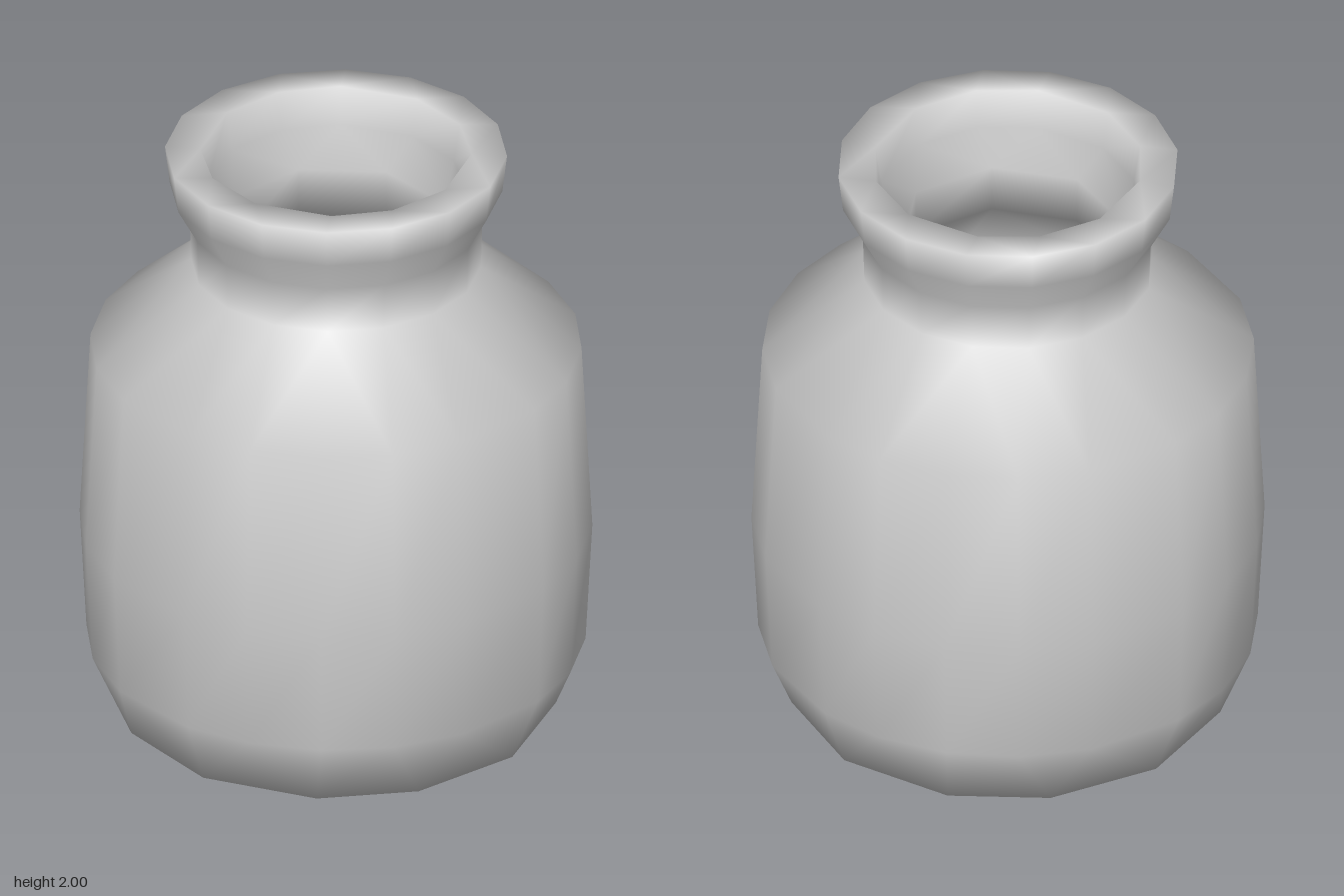
import * as THREE from 'three';

// Vertex angles (degrees) within one quarter turn; each pattern repeats four times
const BASE = [-6, 25, 52];
const BODY = [-6.8, 16.7, 33.7, 50.4, 67.5];
const RIM = [-17.2, 5.3, 27.8, 50.3];
const LIP = [-6.5, 22.5, 49];
const THROAT = [-17, 28];

// Rings [radius, height, angles]: base centre, up the outside, over the rim, down the inside
const RINGS = [
  [0, 0, null],
  [0.715, 0, BASE],
  [0.81, 0.23, BODY],
  [0.832, 0.65, BODY],
  [0.797, 1.3, BODY],
  [0.47, 1.59, RIM],
  [0.475, 1.75, RIM],
  [0.54, 1.87, RIM],
  [0.555, 2, RIM],
  [0.44, 2, LIP],
  [0.42, 1.87, LIP],
  [0.373, 1.74, THROAT],
  [0.373, 1.58, THROAT],
  [0.69, 1.26, BASE],
  [0.73, 0.65, BASE],
  [0.7, 0.25, BASE],
  [0.62, 0.1, BASE],
  [0, 0.1, null],
];

function ringAngles(quarter) {
  if (!quarter) return [0];
  return [0, 90, 180, 270].flatMap((turn) => quarter.map((a) => a + turn));
}

// Joins rings with different numbers of sides, always stepping to the nearer next vertex
function buildRings(rings) {
  const positions = [];
  const index = [];
  const loops = rings.map(([r, y, quarter]) => {
    const start = positions.length / 3;
    const angles = ringAngles(quarter);
    for (const deg of angles) {
      const a = THREE.MathUtils.degToRad(deg);
      positions.push(r * Math.sin(a), y, -r * Math.cos(a));
    }
    const n = angles.length;
    return {
      steps: n > 1 ? n : 0,
      at: (k) => start + (k % n),
      angle: (k) => angles[k % n] + 360 * Math.floor(k / n),
    };
  });
  for (let i = 0; i + 1 < loops.length; i++) {
    const A = loops[i];
    const B = loops[i + 1];
    let a = 0;
    let b = 0;
    while (a < A.steps || b < B.steps) {
      const stepA = b >= B.steps || (a < A.steps &&
        A.angle(a) + A.angle(a + 1) <= B.angle(b) + B.angle(b + 1));
      if (stepA) {
        index.push(A.at(a), B.at(b), A.at(a + 1));
        a++;
      } else {
        index.push(A.at(a), B.at(b), B.at(b + 1));
        b++;
      }
    }
  }
  const geometry = new THREE.BufferGeometry();
  geometry.setAttribute('position', new THREE.Float32BufferAttribute(positions, 3));
  geometry.setIndex(index);
  geometry.computeVertexNormals();
  return geometry;
}

export function createModel() {
  const group = new THREE.Group();
  group.name = 'jar';
  const jar = new THREE.Mesh(
    buildRings(RINGS),
    new THREE.MeshStandardMaterial({ color: 0xcccccc })
  );
  jar.name = 'jarBody';
  group.add(jar);
  return group;
}
